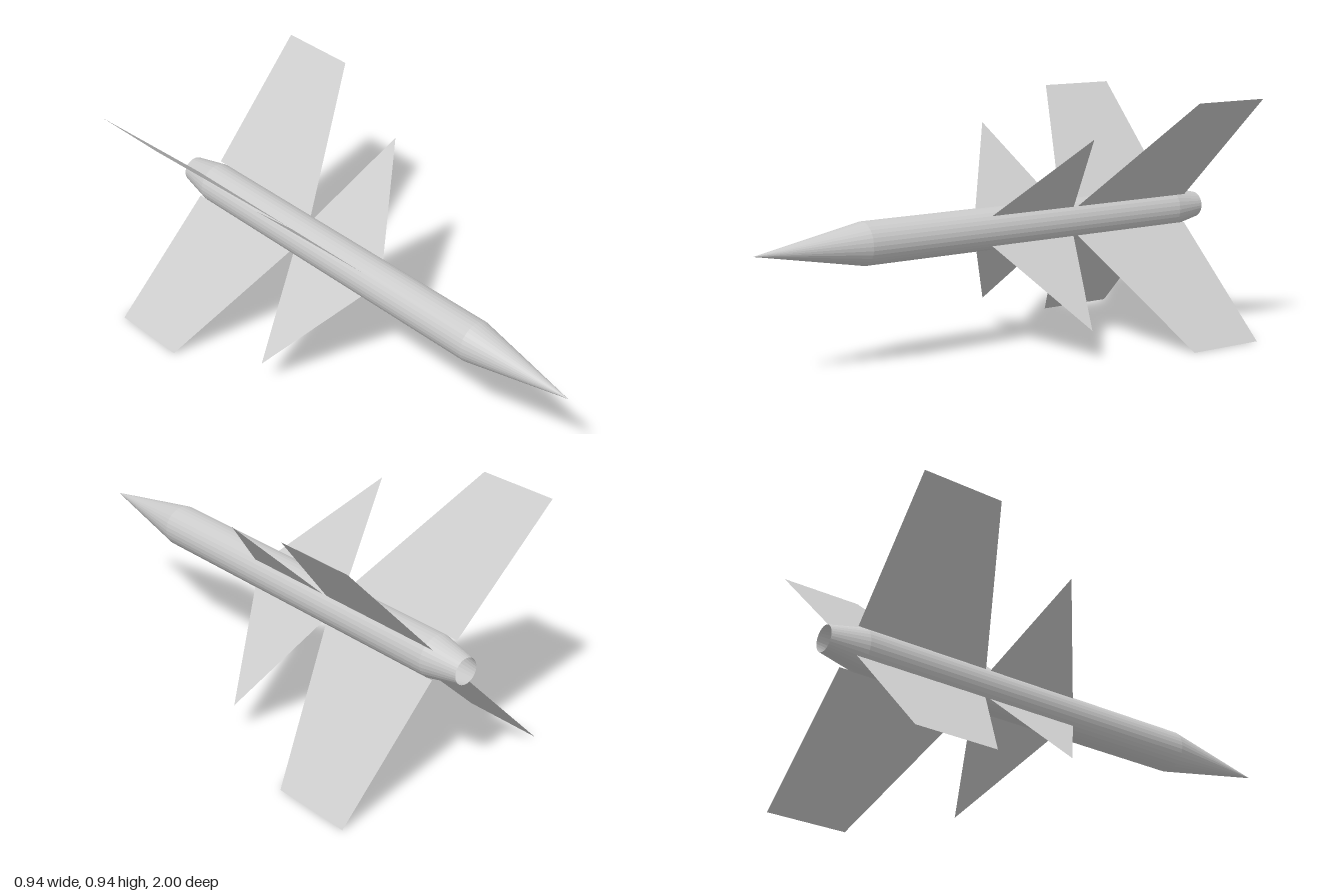
import * as THREE from 'three';

export function createModel() {
  const model = new THREE.Group();
  const axisY = 0.47;
  const radius = 0.08;
  const material = new THREE.MeshStandardMaterial({
    color: 0xcccccc, flatShading: true, side: THREE.DoubleSide,
  });

  function add(name, geometry, parent) {
    const mesh = new THREE.Mesh(geometry, material);
    mesh.name = name;
    parent.add(mesh);
    return mesh;
  }

  // Open round section along z between two radii
  function section(name, zFront, rFront, zBack, rBack) {
    const geometry = new THREE.CylinderGeometry(rFront, rBack, zFront - zBack, 32, 1, true);
    geometry.rotateX(Math.PI / 2);
    add(name, geometry, model).position.set(0, axisY, (zFront + zBack) / 2);
  }
  section('noseCone', 1, 0, 0.565, radius);
  section('bodyTube', 0.565, radius, -0.86, radius);
  section('tailCone', -0.86, radius, -1, 0.05);

  // Paper-thin fins, outlined as [distance from axis, z]
  function finGeometry(outline) {
    const shape = new THREE.Shape(outline.map(([r, z]) => new THREE.Vector2(r, z)));
    return new THREE.ShapeGeometry(shape).rotateX(Math.PI / 2);
  }
  const foreFin = finGeometry([[radius, 0.04], [0.5, -0.2], [radius, -0.34]]);
  const tailFin = finGeometry([[radius, -0.36], [0.665, -0.6], [0.665, -0.92], [radius, -0.9]]);

  // Four pairs of fins set diagonally around the body
  for (let i = 0; i < 4; i++) {
    const pair = new THREE.Group();
    pair.name = 'finPair' + (i + 1);
    pair.position.y = axisY;
    pair.rotation.z = Math.PI / 4 + i * Math.PI / 2;
    add('foreFin', foreFin, pair);
    add('tailFin', tailFin, pair);
    model.add(pair);
  }
  return model;
}
